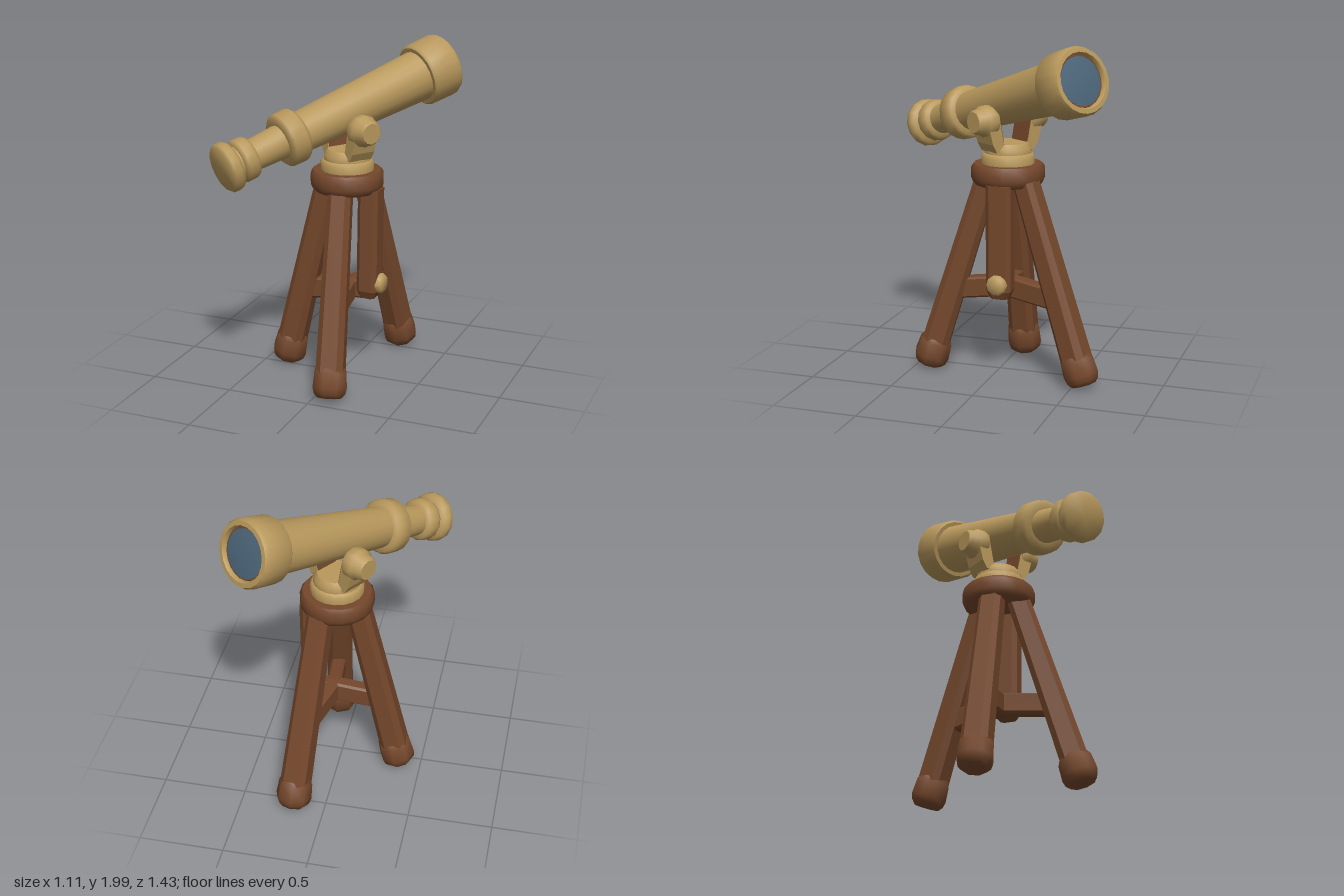
import * as THREE from 'three';
import { toCreasedNormals } from 'three/addons/utils/BufferGeometryUtils.js';

const mat = (name, color) => {
  const m = new THREE.MeshStandardMaterial({ color });
  m.name = name;
  return m;
};
const V = (x, y, z) => new THREE.Vector3(x, y, z);

export function createModel() {
  const root = new THREE.Group();
  root.name = 'telescope';
  const brass = mat('brass', 0xb8985c);
  const wood = mat('wood', 0x74472b);
  const glass = mat('glass', 0x4c667a);

  const add = (parent, name, geometry, material) => {
    const mesh = new THREE.Mesh(geometry, material);
    mesh.name = name;
    parent.add(mesh);
    return mesh;
  };
  // Turned part; the profile is [radius, height] from bottom to top
  const turned = (profile, sides = 18, crease = 0.9) => toCreasedNormals(
    new THREE.LatheGeometry(profile.map(([r, y]) => new THREE.Vector2(r, y)), sides), crease);

  // Chamfered beam between two points, tapered towards its end
  function beam(name, from, to, w, h, c, taper = 1) {
    const length = from.distanceTo(to), a = w / 2, b = h / 2;
    const shape = new THREE.Shape([
      [-a + c, -b], [a - c, -b], [a, -b + c], [a, b - c],
      [a - c, b], [-a + c, b], [-a, b - c], [-a, -b + c],
    ].map(([x, y]) => new THREE.Vector2(x, y)));
    const g = new THREE.ExtrudeGeometry(shape, { depth: length, bevelEnabled: false });
    const p = g.attributes.position;
    for (let i = 0; i < p.count; i++) {
      const k = 1 + (taper - 1) * p.getZ(i) / length;
      p.setXY(i, p.getX(i) * k, p.getY(i) * k);
    }
    const mesh = add(root, name, toCreasedNormals(g, 0.5), wood);
    mesh.position.copy(from);
    mesh.lookAt(to);
    return mesh;
  }

  // Tripod head
  const cx = 0.02, cz = -0.057;
  add(root, 'tripodHead', turned([
    [0, 1.15], [0.19, 1.15], [0.205, 1.165], [0.215, 1.19], [0.215, 1.25], [0.2, 1.272], [0, 1.272],
  ]), wood).position.set(cx, 0, cz);

  // Three legs with feet, and a brace running from each to the middle
  const hub = V(0.04, 0.545, -0.06);
  const legs = [
    ['right', V(-0.1, 1.17, -0.05), V(-0.368, 0.025, -0.045)],
    ['front', V(0.03, 1.17, 0.07), V(0.1, 0.03, 0.415)],
    ['back', V(0.09, 1.17, -0.19), V(0.187, 0.033, -0.57)],
  ];
  for (const [side, top, bottom] of legs) {
    const ankle = bottom.clone().lerp(top, 0.08);
    beam(side + 'Leg', top, ankle, 0.135, 0.135, 0.028, 1.2);
    const foot = add(root, side + 'Foot', turned([
      [0, 0], [0.075, 0], [0.098, 0.025], [0.107, 0.06], [0.1, 0.15], [0.085, 0.175], [0, 0.175],
    ], 8), wood);
    foot.position.copy(bottom);
    foot.quaternion.setFromUnitVectors(V(0, 1, 0), top.clone().sub(bottom).normalize());
    const joint = bottom.clone().lerp(top, 0.42);
    beam(side + 'Brace', hub, joint, 0.085, 0.125, 0.012);
  }

  // Short hanging post with its clamp knob
  beam('post', V(0.17, 1.17, -0.057), V(0.163, 0.55, -0.057), 0.15, 0.125, 0.025);
  beam('postTip', V(0.163, 0.55, -0.057), V(0.16, 0.5, -0.057), 0.15, 0.125, 0.025, 0.7);
  beam('postBrace', hub, V(0.16, 0.55, -0.057), 0.085, 0.115, 0.012);
  const knob = add(root, 'clampKnob', turned([
    [0, 0], [0.06, 0], [0.06, 0.045], [0.045, 0.062], [0, 0.062],
  ], 10), brass);
  knob.position.set(0.2, 0.59, -0.057);
  knob.rotation.z = -Math.PI / 2;

  // Swivel mount, turned so that its x axis lies across the tube
  const mount = new THREE.Group();
  mount.name = 'mount';
  mount.position.set(cx, 0, cz);
  mount.rotation.y = -0.6;
  root.add(mount);
  add(mount, 'collar', turned([
    [0, 1.265], [0.155, 1.265], [0.157, 1.315], [0.145, 1.332], [0.138, 1.335],
    [0.138, 1.365], [0.115, 1.395], [0, 1.395],
  ]), brass);

  const plate = (points, depth) => {
    const g = new THREE.ExtrudeGeometry(
      new THREE.Shape(points.map(([x, y]) => new THREE.Vector2(x, y))), { depth, bevelEnabled: false });
    g.translate(0, 0, -depth / 2);
    return g;
  };
  for (const side of [0, 1]) {
    const arm = new THREE.Group();
    arm.name = side ? 'rightForkArm' : 'leftForkArm';
    arm.rotation.y = side * Math.PI;
    mount.add(arm);
    add(arm, 'armBar', plate([
      [0.07, 1.35], [0.135, 1.35], [0.165, 1.4], [0.2, 1.53], [0.12, 1.56], [0.09, 1.41],
    ], 0.15), brass);
    add(arm, 'armLining', plate([
      [0.081, 1.395], [0.089, 1.395], [0.121, 1.56], [0.113, 1.56],
    ], 0.14), wood);
    const pivot = add(arm, 'pivotKnob', turned([
      [0, 0.12], [0.085, 0.12], [0.092, 0.135], [0.092, 0.185], [0.075, 0.205],
      [0.072, 0.235], [0.06, 0.25], [0, 0.25],
    ], 12), brass);
    pivot.rotation.z = -Math.PI / 2;
    pivot.position.y = 1.53;
  }

  // Telescope tube, built upright from the eyepiece and then aimed
  const tube = new THREE.Group();
  tube.name = 'tube';
  const eye = V(-0.44, 1.395, 0.635), end = V(0.41, 1.82, -0.6);
  tube.position.copy(eye);
  tube.quaternion.setFromUnitVectors(V(0, 1, 0), end.clone().sub(eye).normalize());
  root.add(tube);
  add(tube, 'eyepiece', turned([
    [0, 0], [0.13, 0], [0.144, 0.015], [0.146, 0.05], [0.132, 0.072], [0.1, 0.085], [0.1, 0.095],
    [0.118, 0.1], [0.126, 0.115], [0.126, 0.165], [0.115, 0.185], [0.09, 0.195],
  ], 14), brass);
  add(tube, 'drawTube', turned([[0.09, 0.18], [0.1, 0.41]]), brass);
  add(tube, 'tubeCollar', turned([
    [0.09, 0.385], [0.14, 0.385], [0.157, 0.402], [0.16, 0.485], [0.145, 0.507], [0.115, 0.515],
  ]), brass);
  add(tube, 'barrel', turned([[0.118, 0.5], [0.133, 0.9], [0.152, 1.4]], 20), brass);
  add(tube, 'lensHood', turned([
    [0.14, 1.365], [0.175, 1.365], [0.188, 1.382], [0.192, 1.54], [0.18, 1.563],
    [0.155, 1.565], [0.146, 1.55], [0.146, 1.535], [0, 1.535],
  ], 20), brass);
  add(tube, 'lensSeat', turned([[0.146, 1.535], [0.144, 1.542], [0.13, 1.542]], 20), wood);
  add(tube, 'lens', turned([[0.136, 1.535], [0.136, 1.543], [0.08, 1.55], [0, 1.553]], 20), glass);

  return root;
}
